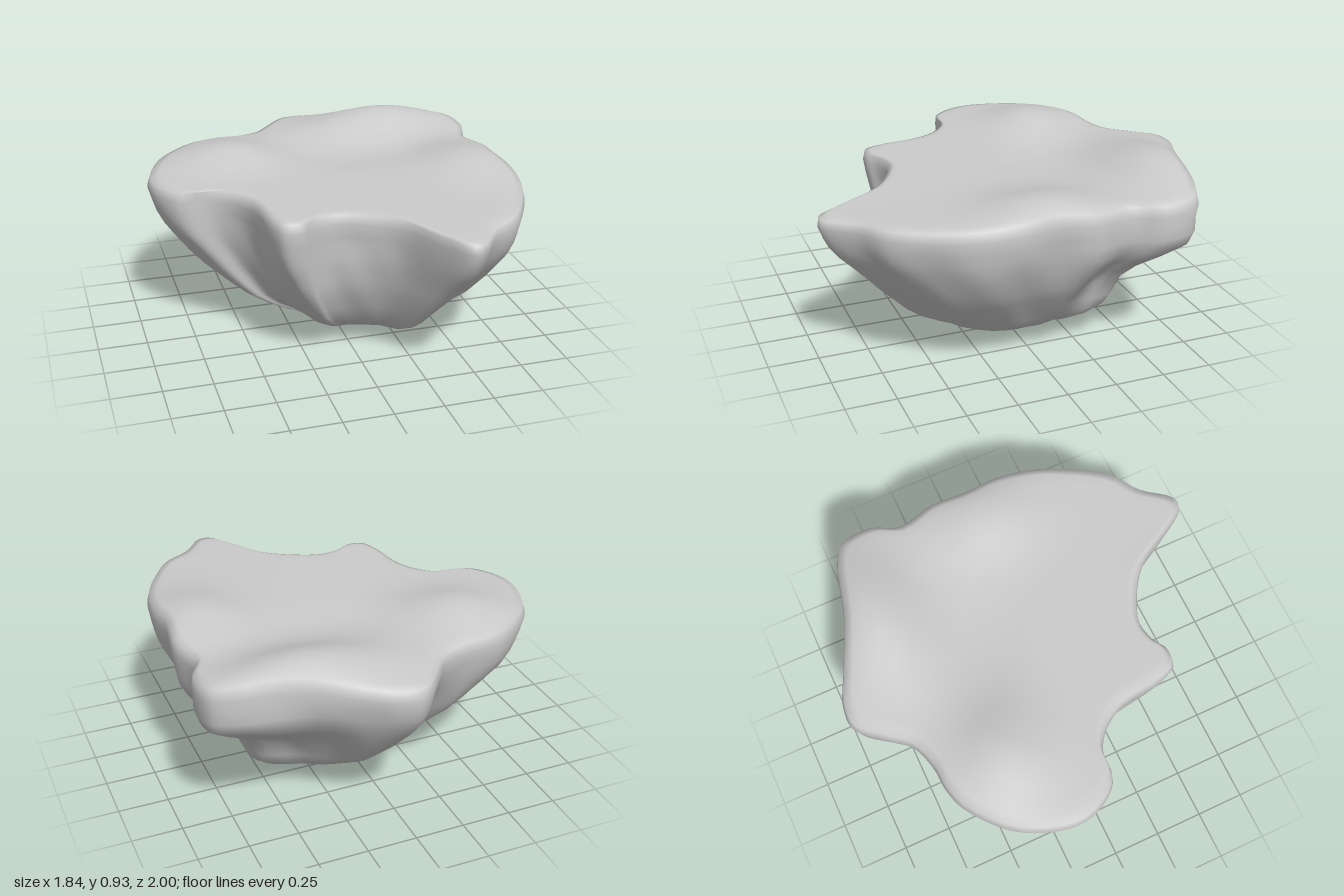
import * as THREE from 'three';

// Rim outline seen from above, as x, z pairs
const RIM = [
  [-0.03, -0.995], [0.1, -0.995], [0.25, -0.93], [0.5, -0.82], [0.8, -0.74], [0.89, -0.68], [0.915, -0.52],
  [0.86, -0.38], [0.9, -0.18], [0.885, 0], [0.9, 0.2], [0.87, 0.4], [0.79, 0.58], [0.68, 0.75],
  [0.54, 0.85], [0.42, 0.995], [0.36, 0.995], [0.27, 0.87], [0.15, 0.67], [0, 0.56], [-0.14, 0.51],
  [-0.25, 0.53], [-0.32, 0.57], [-0.4, 0.56], [-0.44, 0.48], [-0.48, 0.24], [-0.55, 0.12],
  [-0.65, 0.05], [-0.8, 0.03], [-0.89, -0.08], [-0.92, -0.21], [-0.88, -0.38], [-0.8, -0.52],
  [-0.62, -0.67], [-0.5, -0.71], [-0.38, -0.72], [-0.24, -0.77], [-0.15, -0.87],
];
const CX = 0.1; // rings shrink towards this x
const SEG = 152;
const RIM_Y = 0.765;

// Underside profile from rim to base: ring scale, height
const UNDER = [
  [1, RIM_Y], [0.985, 0.7], [0.97, 0.65], [0.945, 0.59], [0.9, 0.52], [0.845, 0.44], [0.78, 0.36],
  [0.68, 0.265], [0.61, 0.2], [0.53, 0.145], [0.42, 0.09], [0.3, 0.05], [0.15, 0.02], [0, 0],
];
const TOP = [0, 0.12, 0.24, 0.36, 0.48, 0.6, 0.7, 0.8, 0.88, 0.94, 0.985];

// Hollows and ribs of the wall: amount, angle, angular width, height, vertical width
const FEATURES = [
  [-0.16, -0.8, 0.5, 0.37, 0.13], // overhung hollow under the back corner
  [0.045, -0.75, 0.4, 0.6, 0.08], // thick lip above it
  [-0.09, 0.85, 0.3, 0.2, 0.12],  // recess below the front side
  [-0.07, 1.27, 0.22, 0.4, 0.25], // undercut front tip
  [-0.05, 0.05, 0.3, 0.25, 0.12],
  [0.04, Math.PI, 0.4, 0.22, 0.12],
  [0.025, -0.2, 0.15, 0.4, 0.2],
  [-0.03, -2.0, 0.15, 0.4, 0.2],
];

const bump = (x, z, cx, cz, sx, sz) => Math.exp(-(((x - cx) / sx) ** 2) - ((z - cz) / sz) ** 2);

// Gently rolling height of the upper surface
function groundHeight(x, z) {
  return 0.82
    + 0.11 * bump(x, z, 0.45, -0.68, 0.4, 0.22)
    + 0.075 * bump(x, z, -0.47, -0.4, 0.24, 0.24)
    + 0.07 * bump(x, z, 0.72, 0.03, 0.22, 0.3)
    - 0.02 * bump(x, z, 0.15, -0.3, 0.3, 0.2)
    - 0.015 * bump(x, z, 0.35, 1, 0.3, 0.4);
}

// Wall scale: rounder towards the base, shaped by the features and fine ripples
function wallScale(angle, radius, y) {
  const round = 0.5 * Math.max(0, 1 - y / 0.65);
  const mid = Math.sin(Math.PI * Math.min(1, y / RIM_Y));
  let k = 1 + mid * (0.012 * Math.sin(angle * 9 + y * 7) + 0.006 * Math.sin(angle * 17 - y * 11));
  for (const [amount, a, w, cy, h] of FEATURES) {
    const turn = Math.atan2(Math.sin(angle - a), Math.cos(angle - a));
    k += amount * bump(turn, y, 0, cy, w, h);
  }
  return k * (1 + round * (0.86 / radius - 1));
}

function createRock() {
  const curve = new THREE.CatmullRomCurve3(RIM.map(([x, z]) => new THREE.Vector3(x, 0, z)), true, 'centripetal');
  const rim = curve.getPoints(SEG).slice(0, SEG);
  const pos = [];
  const index = [];

  // Upper surface, from the middle outwards
  for (const s of TOP) {
    for (const p of rim) {
      const x = CX + (p.x - CX) * s, z = p.z * s;
      pos.push(x, groundHeight(x, z) - (s > 0.96 ? 0.008 : 0), z);
    }
  }
  // Tapering wall, following the rim height near the top
  for (const [s, y] of UNDER) {
    for (const p of rim) {
      const k = s * wallScale(Math.atan2(p.z, p.x - CX), Math.hypot(p.x - CX, p.z), y);
      const lift = (groundHeight(p.x, p.z) - 0.82) * Math.max(0, (y - 0.4) / 0.35);
      pos.push(CX + (p.x - CX) * k + 0.06 * (1 - s), y + lift * 0.7, p.z * k);
    }
  }
  // Join neighbouring rings; the first and last rings are single points
  const rings = TOP.length + UNDER.length;
  for (let r = 0; r < rings - 1; r++) {
    for (let i = 0; i < SEG; i++) {
      const a = r * SEG + i, b = r * SEG + (i + 1) % SEG;
      const c = a + SEG, d = b + SEG;
      if (r > 0) index.push(a, b, c);
      if (r < rings - 2) index.push(b, d, c);
    }
  }
  const geo = new THREE.BufferGeometry();
  geo.setAttribute('position', new THREE.Float32BufferAttribute(pos, 3));
  geo.setIndex(index);
  geo.computeVertexNormals();
  return geo;
}

export function createModel() {
  const group = new THREE.Group();
  group.name = 'floatingIsland';
  const rock = new THREE.Mesh(createRock(), new THREE.MeshStandardMaterial({ color: 0xcccccc }));
  rock.name = 'islandRock';
  group.add(rock);
  return group;
}
